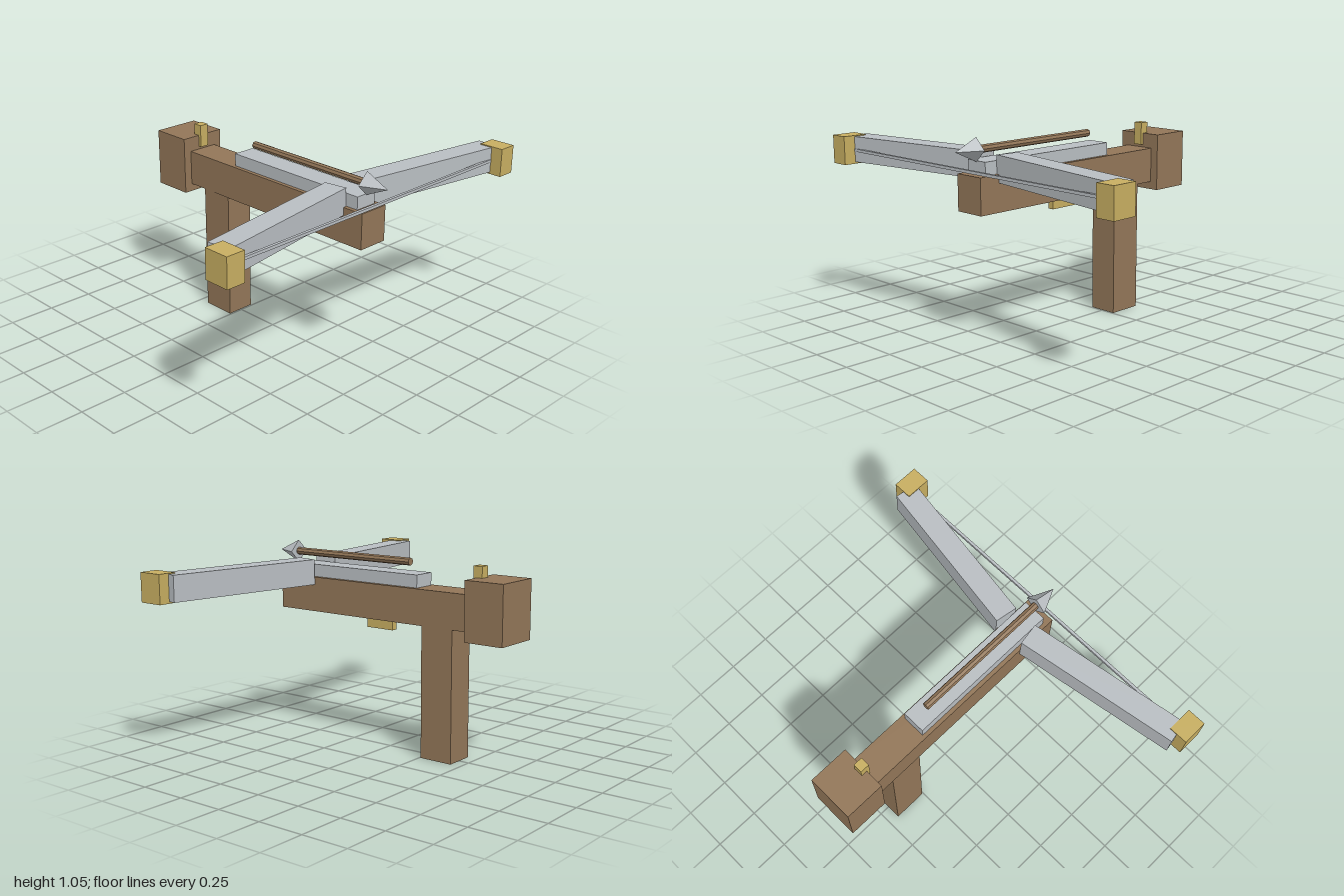
import * as THREE from 'three';

function material(name, color) {
  const m = new THREE.MeshStandardMaterial({ color });
  m.name = name;
  return m;
}

export function createModel() {
  const group = new THREE.Group();
  group.name = 'crossbow';
  const wood = material('wood', 0x927658);
  const steel = material('steel', 0xb9bec2);
  const brass = material('brass', 0xc7ae61);

  const add = (name, geometry, mat) => {
    const mesh = new THREE.Mesh(geometry, mat);
    mesh.name = name;
    group.add(mesh);
    return mesh;
  };
  // Box given by its x, y and z ranges
  const box = (name, mat, [x0, x1], [y0, y1], [z0, z1]) => {
    const mesh = add(name, new THREE.BoxGeometry(x1 - x0, y1 - y0, z1 - z0), mat);
    mesh.position.set((x0 + x1) / 2, (y0 + y1) / 2, (z0 + z1) / 2);
    return mesh;
  };

  // Wooden body
  box('stock', wood, [-0.083, 0.083], [0.69, 0.875], [-0.56, 0.685]);
  box('grip', wood, [-0.078, 0.078], [0, 0.69], [-0.443, -0.257]);
  box('butt', wood, [-0.127, 0.127], [0.648, 0.952], [-0.765, -0.547]);

  // Fittings along the stock
  box('rail', steel, [-0.062, 0.062], [0.87, 0.941], [-0.215, 0.635]);
  box('trigger', brass, [-0.016, 0.016], [0.63, 0.69], [-0.026, 0.14]);
  box('rearSight', brass, [-0.025, 0.025], [0.89, 1.01], [-0.58, -0.53]);

  // Swept limbs with end caps
  for (const [side, s] of [['left', 1], ['right', -1]]) {
    const limb = add(side + 'Limb', new THREE.BoxGeometry(0.875, 0.135, 0.12), steel);
    limb.position.set(s * 0.507, 0.902, 0.576);
    limb.rotation.y = -s * 0.16;
    box(side + 'LimbCap', brass, s > 0 ? [0.9, 1] : [-1, -0.9], [0.825, 0.975], [0.63, 0.765]);
  }
  box('bowstring', steel, [-0.92, 0.92], [0.89, 0.905], [0.688, 0.703]);

  // Bolt: eight-sided shaft and four-sided head
  const shaft = new THREE.CylinderGeometry(0.02, 0.02, 0.765, 8).toNonIndexed();
  shaft.computeVertexNormals();
  shaft.rotateX(Math.PI / 2);
  add('boltShaft', shaft, wood).position.set(0, 0.995, 0.2525);

  const head = new THREE.ConeGeometry(0.06, 0.13, 4).toNonIndexed();
  head.computeVertexNormals();
  head.rotateX(Math.PI / 2);
  add('boltHead', head, steel).position.set(0, 0.995, 0.70);

  return group;
}
